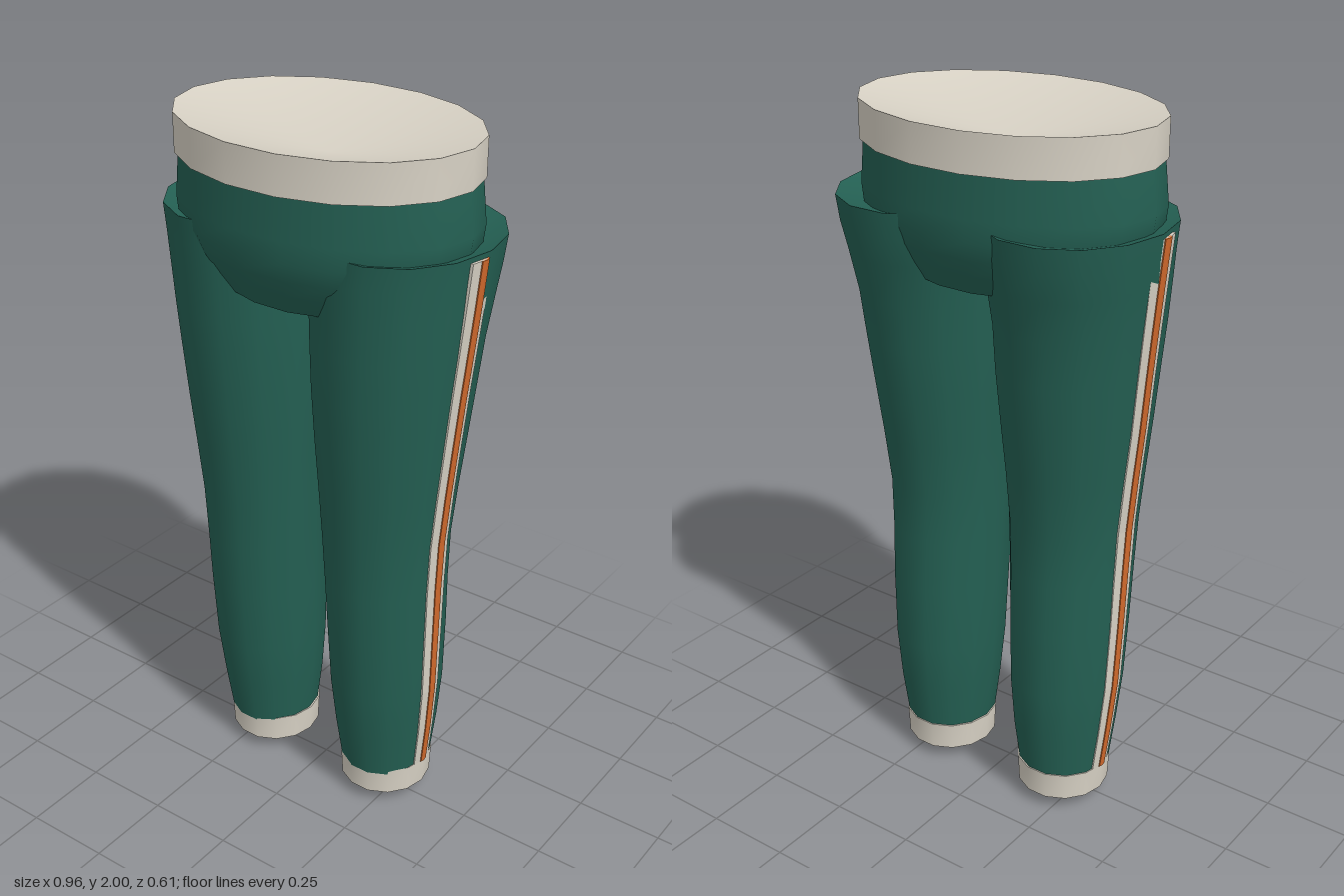
import * as THREE from 'three';

const green = new THREE.MeshStandardMaterial({ color: 0x246053 });
green.name = 'green cloth';
const cream = new THREE.MeshStandardMaterial({ color: 0xd8d2c5 });
cream.name = 'cream trim';
const orange = new THREE.MeshStandardMaterial({ color: 0xd26a2c });
orange.name = 'orange stripe';

// Horizontal ellipse of points at height y
function ellipse(n, y, cx, cz, rx, rz) {
  return Array.from({ length: n }, (_, i) => {
    const a = (i / n) * Math.PI * 2;
    return [cx + rx * Math.cos(a), y, cz + rz * Math.sin(a)];
  });
}

// Skin rings from bottom to top; optional cap apexes give pointed or dished ends
function loft(rings, bottom, top) {
  const n = rings[0].length, pos = rings.flat(2), idx = [];
  for (let i = 0; i < rings.length - 1; i++) {
    for (let j = 0; j < n; j++) {
      const k = (j + 1) % n;
      const a = i * n + j, b = i * n + k, c = b + n, d = a + n;
      idx.push(a, d, b, b, d, c);
    }
  }
  const cap = (ring, apex, up) => {
    const s = pos.length / 3;
    pos.push(...ring.flat(), ...apex);
    for (let j = 0; j < n; j++) {
      const k = (j + 1) % n;
      idx.push(s + n, s + (up ? k : j), s + (up ? j : k));
    }
  };
  if (bottom) cap(rings[0], bottom, false);
  if (top) cap(rings[rings.length - 1], top, true);
  const g = new THREE.BufferGeometry();
  g.setAttribute('position', new THREE.Float32BufferAttribute(pos, 3));
  g.setIndex(idx);
  g.computeVertexNormals();
  return g;
}

function add(parent, name, geometry, material) {
  const m = new THREE.Mesh(geometry, material);
  m.name = name;
  parent.add(m);
}

// Leg rows: y, inner x, outer x, front z, back z
const LEG = [
  [0.11, 0.078, 0.338, 0.122, -0.153],
  [0.25, 0.062, 0.354, 0.145, -0.173],
  [0.40, 0.050, 0.368, 0.165, -0.184],
  [0.60, 0.043, 0.376, 0.178, -0.182],
  [0.75, 0.036, 0.381, 0.183, -0.173],
  [0.90, 0.028, 0.388, 0.190, -0.171],
  [1.05, 0.020, 0.402, 0.204, -0.188],
  [1.20, 0.010, 0.418, 0.218, -0.208],
  [1.35, 0.002, 0.433, 0.230, -0.228],
  [1.48, -0.002, 0.447, 0.237, -0.241],
  [1.60, -0.006, 0.460, 0.243, -0.270],
  [1.68, -0.008, 0.468, 0.248, -0.293],
  [1.75, -0.010, 0.476, 0.252, -0.302],
];

// Stripe rows: y, centre z, half width
const STRIPE = [
  [0.12, -0.017, 0.037], [0.25, -0.012, 0.038], [0.4, -0.005, 0.040],
  [0.6, 0.002, 0.041], [0.75, 0.006, 0.042], [0.9, 0.008, 0.042],
  [1.05, 0.008, 0.042], [1.2, 0.008, 0.042], [1.35, 0.005, 0.043],
  [1.48, 0.002, 0.044], [1.6, 0, 0.045], [1.735, 0, 0.045],
];

// Outer x of the leg at height y
function outerX(y) {
  const i = Math.max(1, LEG.findIndex((r) => r[0] >= y));
  const [p, q] = [LEG[i - 1], LEG[i]];
  return THREE.MathUtils.lerp(p[2], q[2], (y - p[0]) / (q[0] - p[0]));
}

// Raised band that wraps the outer side of a leg
function band(side, widthScale, lift, depth) {
  const rings = STRIPE.map(([y, z, half]) => {
    const w = half * widthScale, x = outerX(y) + lift, e = x - w * 0.2;
    const pts = [[x, z], [e, z + w], [e - depth, z + w], [x - depth, z], [e - depth, z - w], [e, z - w]]
      .map(([px, pz]) => [px * side, y, pz]);
    return side > 0 ? pts : pts.reverse();
  });
  const mid = (r) => [0, 1, 2].map((k) => r.reduce((s, p) => s + p[k], 0) / r.length);
  const g = loft(rings, mid(rings[0]), mid(rings[rings.length - 1])).toNonIndexed();
  g.computeVertexNormals();
  return g;
}

export function createModel() {
  const model = new THREE.Group();
  model.name = 'trackTrousers';

  // Waistband with a dished top
  const waist = [1.895, 2].map((y) => ellipse(18, y, 0, 0, 0.43, 0.312));
  add(model, 'waistband', loft(waist, [0, 1.895, 0], [0, 1.91, 0]), cream);

  // Hips, narrowing to the crotch
  const hips = [
    [1.57, 0.30, 0.24], [1.62, 0.355, 0.263], [1.67, 0.40, 0.284],
    [1.72, 0.43, 0.297], [1.78, 0.438, 0.30], [1.9, 0.424, 0.298],
  ].map(([y, rx, rz]) => ellipse(18, y, 0, 0, rx, rz));
  add(model, 'hips', loft(hips, [0, 1.575, 0]), green);

  for (const side of [1, -1]) {
    const leg = new THREE.Group();
    leg.name = side > 0 ? 'leftLeg' : 'rightLeg';
    model.add(leg);

    // Trouser leg, dished at the hip
    const rings = LEG.map(([y, xi, xo, zf, zb]) =>
      ellipse(14, y, side * (xi + xo) / 2, (zf + zb) / 2, (xo - xi) / 2, (zf - zb) / 2));
    add(leg, 'trouserLeg', loft(rings, null, [side * 0.235, 1.67, -0.02]), green);

    // Ankle cuff with a shallow pointed underside
    const cuff = [[0.04, 0.131, 0.136], [0.122, 0.135, 0.140]].map(([y, rx, rz]) =>
      ellipse(14, y, side * 0.207, -0.018, rx, rz));
    add(leg, 'cuff', loft(cuff, [side * 0.207, 0, -0.03], [side * 0.207, 0.122, -0.018]), cream);

    // Side stripes
    add(leg, 'wideStripe', band(side, 1, 0.003, 0.03), cream);
    add(leg, 'narrowStripe', band(side, 0.34, 0.006, 0.008), orange);
  }
  return model;
}
